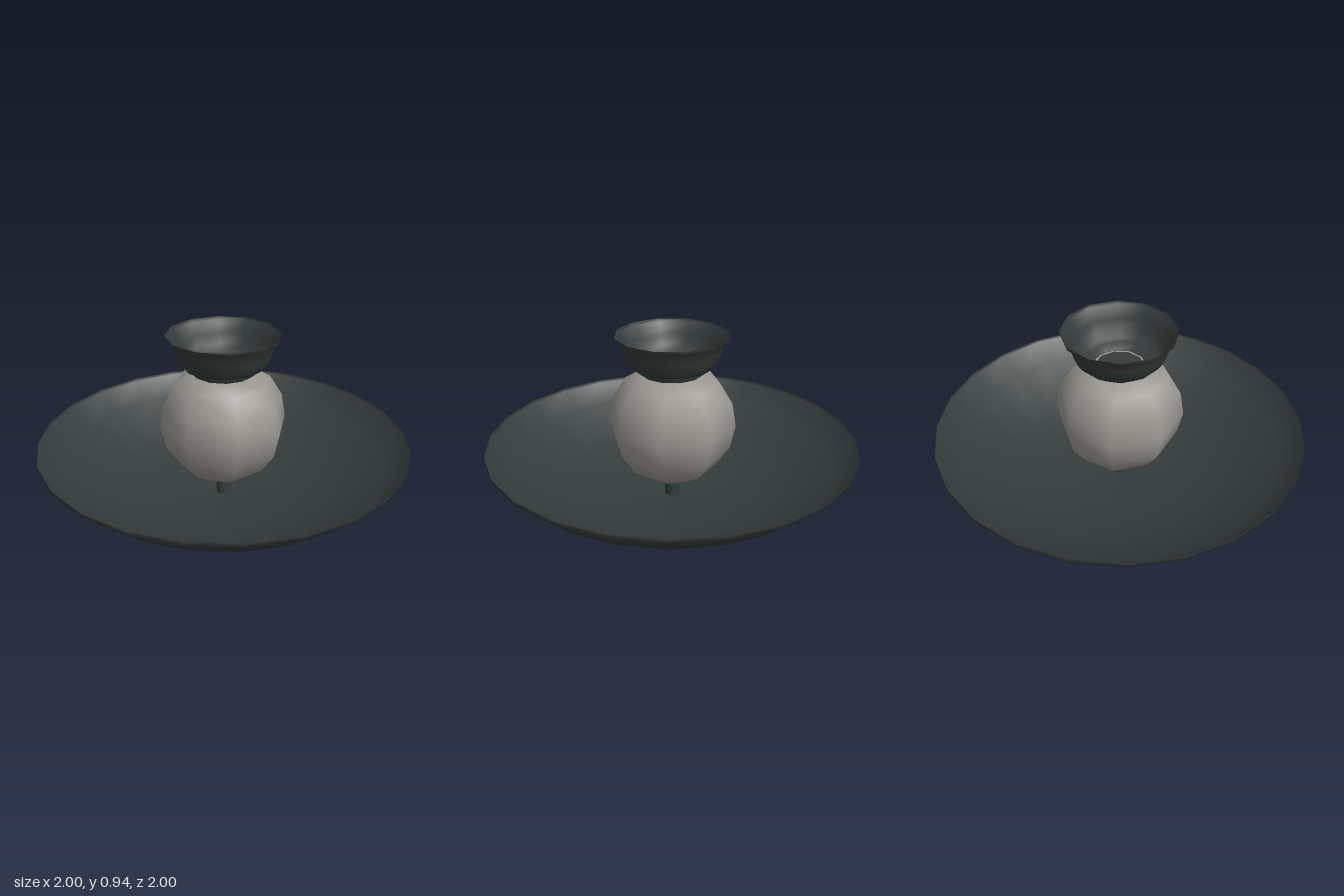
import * as THREE from 'three';

export function createModel() {
  const model = new THREE.Group();
  const dark = new THREE.MeshStandardMaterial({ name: 'darkSlate', color: 0x343c3b, side: THREE.DoubleSide });
  const grey = new THREE.MeshStandardMaterial({ name: 'warmGrey', color: 0x9a9791, side: THREE.DoubleSide });

  // Turn a profile of [radius, height] pairs around the vertical axis
  const turn = (name, profile, sides, material, start = 0) => {
    const points = profile.map(([r, y]) => new THREE.Vector2(r, y));
    const mesh = new THREE.Mesh(new THREE.LatheGeometry(points, sides, start), material);
    mesh.name = name;
    model.add(mesh);
    return mesh;
  };

  // Wide shallow dish, a thin open shell
  turn('dish', [[0, 0], [0.3, 0.03], [0.57, 0.07], [0.88, 0.22], [1, 0.33], [1, 0.35]], 24, dark);

  // Short pin holding the ball above the dish
  turn('pin', [[0.04, 0.005], [0.04, 0.13]], 12, dark);

  // Eight-sided ball with a flattened top
  const ball = [];
  for (let i = 0; i <= 6; i++) {
    const a = -Math.PI / 2 + (i / 6) * 2.32;
    ball.push([Math.max(0, 0.345 * Math.cos(a)), 0.45 + 0.345 * Math.sin(a)]);
  }
  ball.push([0.16, 0.725], [0.128, 0.725]);
  turn('ball', ball, 8, grey, 0.115);

  // Pale ring and dark floor at the bottom of the cup
  turn('cupRing', [[0.138, 0.728], [0.128, 0.728]], 10, grey);
  turn('cupFloor', [[0.13, 0.727], [0, 0.727]], 10, dark);

  // Cup with a narrow foot and flared lip
  turn('cupFoot', [[0.138, 0.727], [0.165, 0.727], [0.178, 0.74], [0.178, 0.757]], 12, dark);
  turn('cup', [[0.138, 0.73], [0.175, 0.755], [0.215, 0.765], [0.24, 0.8], [0.262, 0.85],
    [0.275, 0.895], [0.3, 0.918], [0.304, 0.936]], 12, dark);

  return model;
}
